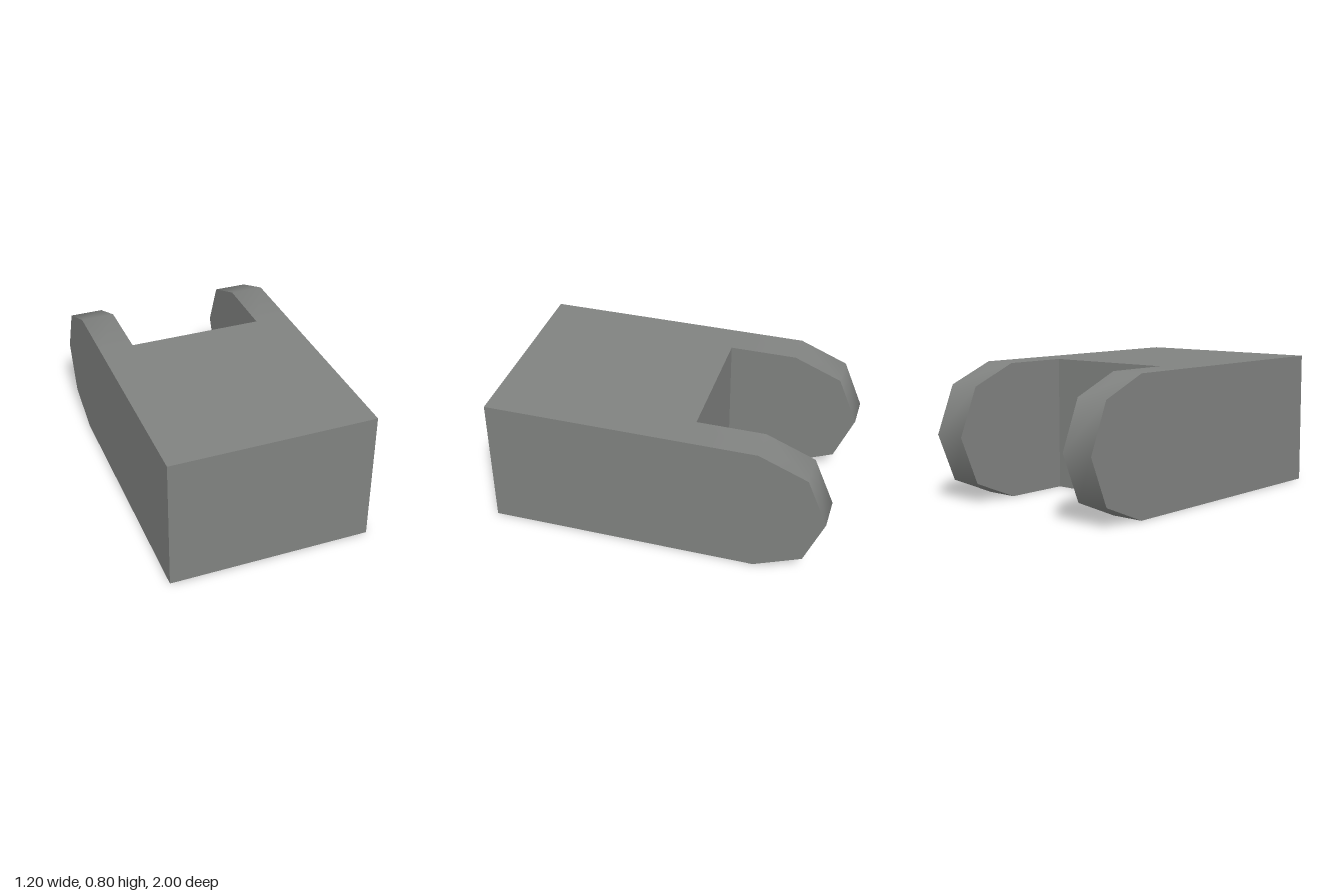
import * as THREE from 'three';
import { toCreasedNormals } from 'three/addons/utils/BufferGeometryUtils.js';

const HEIGHT = 0.8, WIDTH = 1.2, ARM = 0.2; // overall height and width, arm thickness
const FRONT = 1, NOTCH = -0.2, PIVOT = -0.6; // z of front face, notch wall and rounded-end centre

// One arm: straight bar with a four-sided rounded end, smooth around the curve
function armGeometry() {
  const r = HEIGHT / 2;
  const shape = new THREE.Shape();
  shape.moveTo(-NOTCH, 0);
  for (let i = 0; i <= 4; i++) {
    const a = -Math.PI / 2 + (i * Math.PI) / 4;
    shape.lineTo(-PIVOT + r * Math.cos(a), r + r * Math.sin(a));
  }
  shape.lineTo(-NOTCH, HEIGHT);
  const geo = new THREE.ExtrudeGeometry(shape, { depth: ARM, bevelEnabled: false });
  geo.translate(0, 0, -ARM / 2).rotateY(Math.PI / 2);
  return toCreasedNormals(geo, 0.9);
}

export function createModel() {
  const group = new THREE.Group();
  group.name = 'forkedBlock';
  const grey = new THREE.MeshStandardMaterial({ color: 0x808280 });
  grey.name = 'grey';

  // Solid front block
  const depth = FRONT - NOTCH;
  const block = new THREE.Mesh(new THREE.BoxGeometry(WIDTH, HEIGHT, depth), grey);
  block.name = 'block';
  block.position.set(0, HEIGHT / 2, NOTCH + depth / 2);
  group.add(block);

  // Pair of arms behind the block
  const armGeo = armGeometry();
  for (const [name, side] of [['leftArm', 1], ['rightArm', -1]]) {
    const arm = new THREE.Mesh(armGeo, grey);
    arm.name = name;
    arm.position.x = side * (WIDTH - ARM) / 2;
    group.add(arm);
  }
  return group;
}
